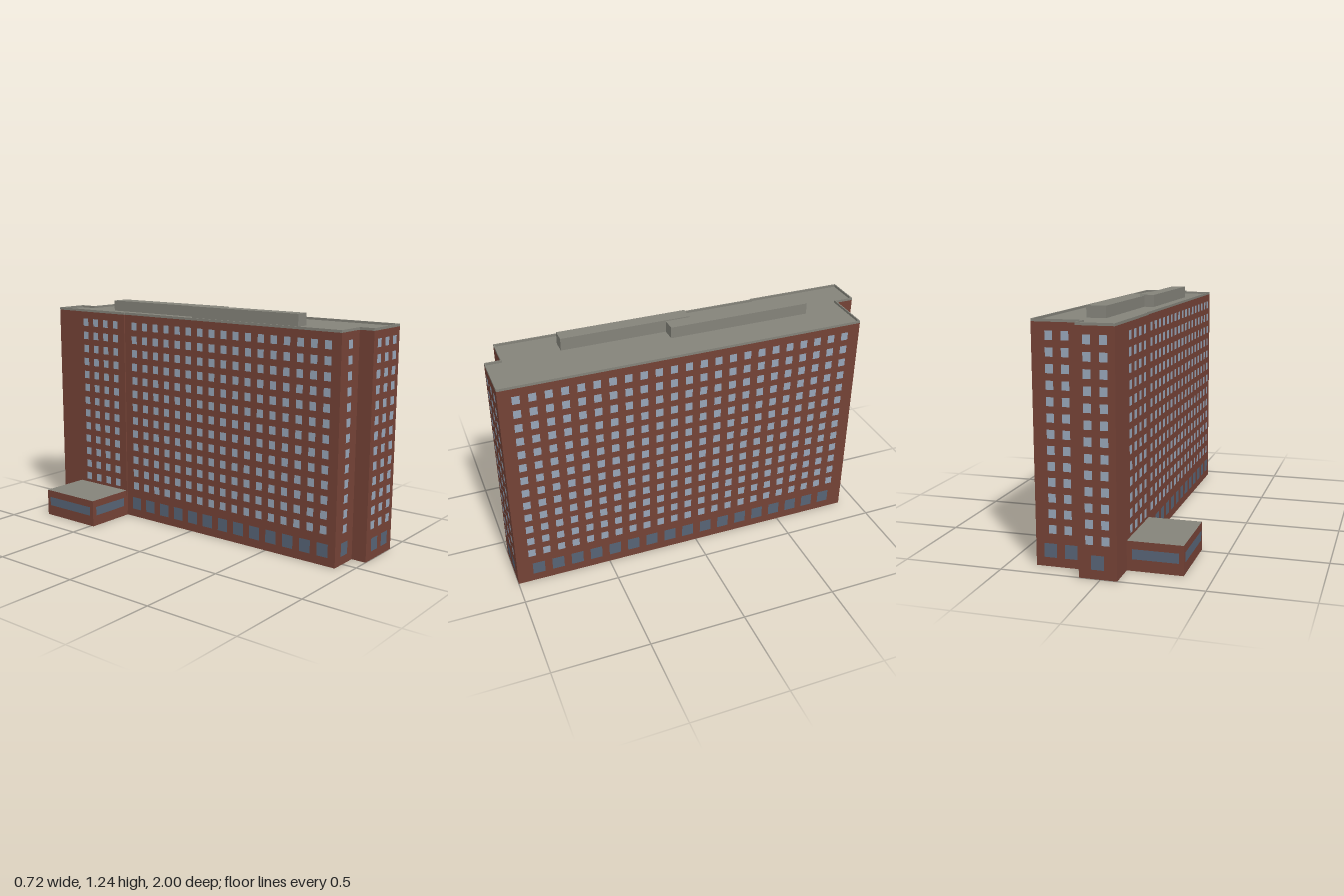
import * as THREE from 'three';
import { mergeGeometries } from 'three/addons/utils/BufferGeometryUtils.js';

export function createModel() {
  const model = new THREE.Group();
  const material = (name, color, side = THREE.FrontSide) => {
    const m = new THREE.MeshStandardMaterial({ color, side });
    m.name = name;
    return m;
  };
  const brick = material('brick', 0x744236, THREE.DoubleSide);
  const concrete = material('concrete', 0x84837a, THREE.DoubleSide);
  const glass = material('window glass', 0x97a5b8);
  const darkGlass = material('ground floor glass', 0x566375);

  const add = (parent, name, geometry, mat) => {
    const mesh = new THREE.Mesh(geometry, mat);
    mesh.name = name;
    parent.add(mesh);
    return mesh;
  };

  // An upright rectangle, centred u along the wall p-q and at height y, facing outwards
  const panel = (p, q, u, y, w, h, offset = 0) => {
    const dx = q[0] - p[0], dz = q[1] - p[1], L = Math.hypot(dx, dz);
    const cx = p[0] + dx / L * u - dz / L * offset;
    const cz = p[1] + dz / L * u + dx / L * offset;
    return new THREE.PlaneGeometry(w, h).rotateY(Math.atan2(-dz, dx)).translate(cx, y, cz);
  };
  const length = (p, q) => Math.hypot(q[0] - p[0], q[1] - p[1]);

  // Evenly spaced positions centred on a stretch of wall
  const spaced = (middle, count, step) =>
    Array.from({ length: count }, (_, i) => middle + (i - (count - 1) / 2) * step);

  const WALL = 1.175, TOP = 1.188, ROOF = 1.176;
  const rows = Array.from({ length: 13 }, (_, i) => 0.187 + i * 0.0772);

  // Tower footprint as [x, z], with window columns and ground floor windows of the wall that follows
  const walls = [
    { at: [-0.075, 0.92], columns: 1, ground: 1 },
    { at: [0.094, 0.92] },
    { at: [0.094, 1], columns: 3, ground: 2 },
    { at: [0.357, 1], columns: 23, ground: 17 },
    { at: [0.357, -0.9], columns: 2, ground: 2 },
    { at: [0.105, -0.9] },
    { at: [0.105, -1], columns: 2, ground: 1 },
    { at: [-0.082, -1], columns: 4, middle: 0.335 },
    { at: [-0.082, -0.48] },
    { at: [-0.075, -0.48], columns: 17, ground: 13 },
  ];
  const footprint = walls.map((w) => w.at);

  // Tower walls and their windows, open at the bottom
  const tower = new THREE.Group();
  tower.name = 'tower';
  model.add(tower);
  const wallParts = [], windowParts = [], groundParts = [];
  walls.forEach(({ at: p, columns = 0, ground = 0, middle }, i) => {
    const q = footprint[(i + 1) % footprint.length], L = length(p, q);
    const centre = middle ?? L / 2;
    wallParts.push(panel(p, q, L / 2, WALL / 2, L, WALL));
    for (const u of spaced(centre, columns, 0.0786))
      for (const y of rows) windowParts.push(panel(p, q, u, y, 0.038, 0.043, 0.002));
    for (const u of spaced(centre, ground, 0.1044))
      groundParts.push(panel(p, q, u, 0.081, 0.064, 0.07, 0.002));
  });
  add(tower, 'towerWalls', mergeGeometries(wallParts), brick);
  add(tower, 'upperWindows', mergeGeometries(windowParts), glass);
  add(tower, 'groundFloorWindows', mergeGeometries(groundParts), darkGlass);

  // Roof and parapet; shapes are drawn in x and -z, then laid flat
  const outline = footprint.map(([x, z]) => new THREE.Vector2(x, -z));
  const rim = 0.006;
  const inner = footprint.map((p, i) => {
    const a = footprint.at(i - 1), b = footprint[(i + 1) % footprint.length];
    const l1 = length(a, p), l2 = length(p, b);
    const nx = -(p[1] - a[1]) / l1 - (b[1] - p[1]) / l2;
    const nz = (p[0] - a[0]) / l1 + (b[0] - p[0]) / l2;
    return new THREE.Vector2(p[0] - nx * rim, -(p[1] - nz * rim));
  });
  const roof = new THREE.ShapeGeometry(new THREE.Shape(outline)).rotateX(-Math.PI / 2);
  add(tower, 'roof', roof.translate(0, ROOF, 0), concrete);
  const ring = new THREE.Shape(outline);
  ring.holes.push(new THREE.Path(inner));
  const parapet = new THREE.ExtrudeGeometry(ring, { depth: TOP - WALL, bevelEnabled: false });
  add(tower, 'parapet', parapet.rotateX(-Math.PI / 2).translate(0, WALL, 0), concrete);

  // Two long plant rooms on the roof
  const plantRoom = (name, x0, x1, z0, z1, top) => {
    const box = new THREE.BoxGeometry(x1 - x0, top - ROOF, z1 - z0);
    add(tower, name, box.translate((x0 + x1) / 2, (top + ROOF) / 2, (z0 + z1) / 2), concrete);
  };
  plantRoom('frontPlantRoom', 0.01, 0.086, -0.06, 0.62, 1.24);
  plantRoom('backPlantRoom', 0.063, 0.162, -0.69, 0.07, 1.235);

  // Low annex with a long window on every side
  const annex = new THREE.Group();
  annex.name = 'annex';
  model.add(annex);
  const H = 0.148, x0 = -0.36, x1 = -0.077, z0 = -0.853, z1 = -0.482;
  const corners = [[x0, z1], [x1, z1], [x1, z0], [x0, z0]];
  const annexWalls = [], strips = [];
  corners.forEach((p, i) => {
    const q = corners[(i + 1) % 4], L = length(p, q);
    annexWalls.push(panel(p, q, L / 2, H / 2, L, H));
    // Long windows stop short of the tower wall
    const alongX = p[1] === q[1];
    const u = !alongX ? L / 2 : i === 0 ? 0.137 : L - 0.137;
    strips.push(panel(p, q, u, 0.084, alongX ? 0.227 : L - 0.046, 0.05, 0.002));
  });
  add(annex, 'annexWalls', mergeGeometries(annexWalls), brick);
  add(annex, 'annexWindows', mergeGeometries(strips), darkGlass);
  const annexRoof = new THREE.PlaneGeometry(x1 - x0, z1 - z0).rotateX(-Math.PI / 2);
  add(annex, 'annexRoof', annexRoof.translate((x0 + x1) / 2, H, (z0 + z1) / 2), concrete);

  // The tower wall behind the annex is open at ground level only through its base
  return model;
}
